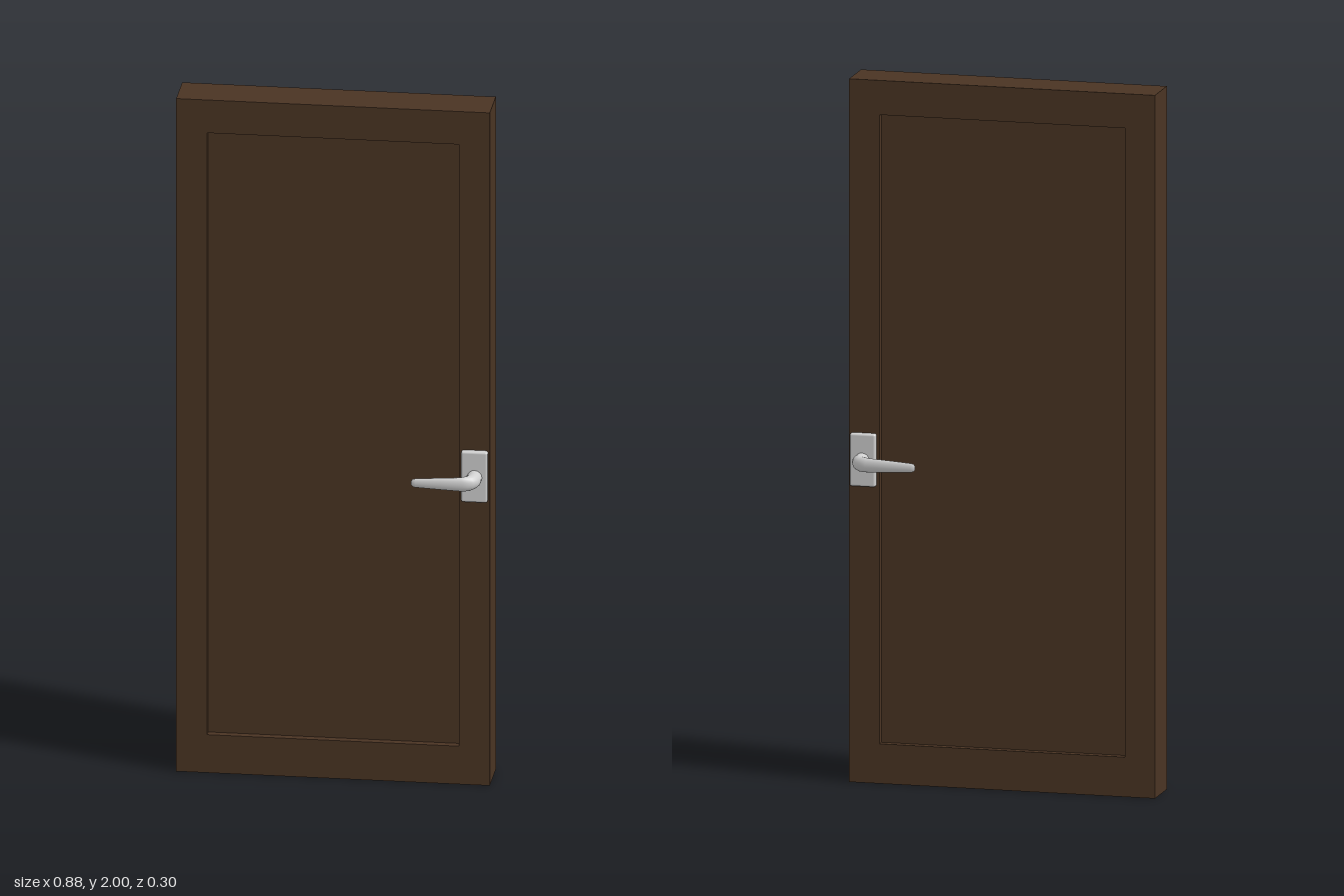
import * as THREE from 'three';
import { RoundedBoxGeometry } from 'three/addons/geometries/RoundedBoxGeometry.js';

const W = 0.88, H = 2, T = 0.129, RECESS = 0.022;
const HANDLE_Y = 0.92;

// Lever cross-sections: outer edge x, z; inner edge x, z; half height
const LEVER = [
  [0.420, 0.070, 0.378, 0.070, 0.021],
  [0.420, 0.108, 0.378, 0.103, 0.021],
  [0.415, 0.124, 0.375, 0.114, 0.021],
  [0.405, 0.139, 0.370, 0.122, 0.021],
  [0.390, 0.146, 0.365, 0.127, 0.021],
  [0.373, 0.151, 0.357, 0.130, 0.020],
  [0.310, 0.151, 0.308, 0.134, 0.017],
  [0.242, 0.151, 0.241, 0.139, 0.013],
  [0.234, 0.149, 0.234, 0.140, 0.011],
  [0.230, 0.147, 0.230, 0.142, 0.006],
];

// Elliptical loops joined into a smooth tapering lever, closed at the tip
function leverGeometry(sides = 20) {
  const pos = [], index = [];
  for (const [ox, oz, ix, iz, hy] of LEVER) {
    for (let j = 0; j < sides; j++) {
      const a = (j / sides) * Math.PI * 2, c = Math.cos(a) / 2;
      pos.push((ox + ix) / 2 + (ox - ix) * c, hy * Math.sin(a), (oz + iz) / 2 + (oz - iz) * c);
    }
  }
  for (let i = 0; i < LEVER.length - 1; i++) {
    for (let j = 0; j < sides; j++) {
      const k = (j + 1) % sides, a = i * sides, b = a + sides;
      index.push(a + j, a + k, b + k, a + j, b + k, b + j);
    }
  }
  const last = (LEVER.length - 1) * sides, tip = pos.length / 3;
  pos.push(0.2295, 0, 0.1445);
  for (let j = 0; j < sides; j++) index.push(tip, last + j, last + (j + 1) % sides);
  const g = new THREE.BufferGeometry();
  g.setAttribute('position', new THREE.Float32BufferAttribute(pos, 3));
  g.setIndex(index);
  g.computeVertexNormals();
  return g;
}

function rectangle(path, x0, y0, x1, y1) {
  path.moveTo(x0, y0);
  path.lineTo(x1, y0);
  path.lineTo(x1, y1);
  path.lineTo(x0, y1);
  path.closePath();
  return path;
}

export function createModel() {
  const wood = new THREE.MeshStandardMaterial({ color: 0x4a3423 });
  wood.name = 'darkWood';
  const metal = new THREE.MeshStandardMaterial({ color: 0xd0d0d0 });
  metal.name = 'satinMetal';

  const model = new THREE.Group();
  model.name = 'door';
  const add = (parent, name, geometry, material, x = 0, y = 0, z = 0) => {
    const mesh = new THREE.Mesh(geometry, material);
    mesh.name = name;
    mesh.position.set(x, y, z);
    parent.add(mesh);
  };

  // Frame with one large opening
  const x = 0.353, y0 = 0.113, y1 = 1.902;
  const outline = rectangle(new THREE.Shape(), -W / 2, 0, W / 2, H);
  outline.holes.push(rectangle(new THREE.Path(), -x, y0, x, y1));
  add(model, 'frame', new THREE.ExtrudeGeometry(outline, { depth: T, bevelEnabled: false }),
    wood, 0, 0, -T / 2);

  // Panel recessed on both faces
  add(model, 'panel', new THREE.BoxGeometry(2 * x, y1 - y0, T - 2 * RECESS), wood, 0, (y0 + y1) / 2, 0);

  // Matching handles; the back one is turned over about the x axis
  for (const [name, turn] of [['frontHandle', 0], ['backHandle', Math.PI]]) {
    const handle = new THREE.Group();
    handle.name = name;
    handle.position.y = HANDLE_Y;
    handle.rotation.x = turn;
    add(handle, 'handlePlate', new RoundedBoxGeometry(0.074, 0.15, 0.028, 3, 0.006), metal, 0.398, 0, 0.067);
    add(handle, 'lever', leverGeometry(), metal);
    model.add(handle);
  }
  return model;
}
